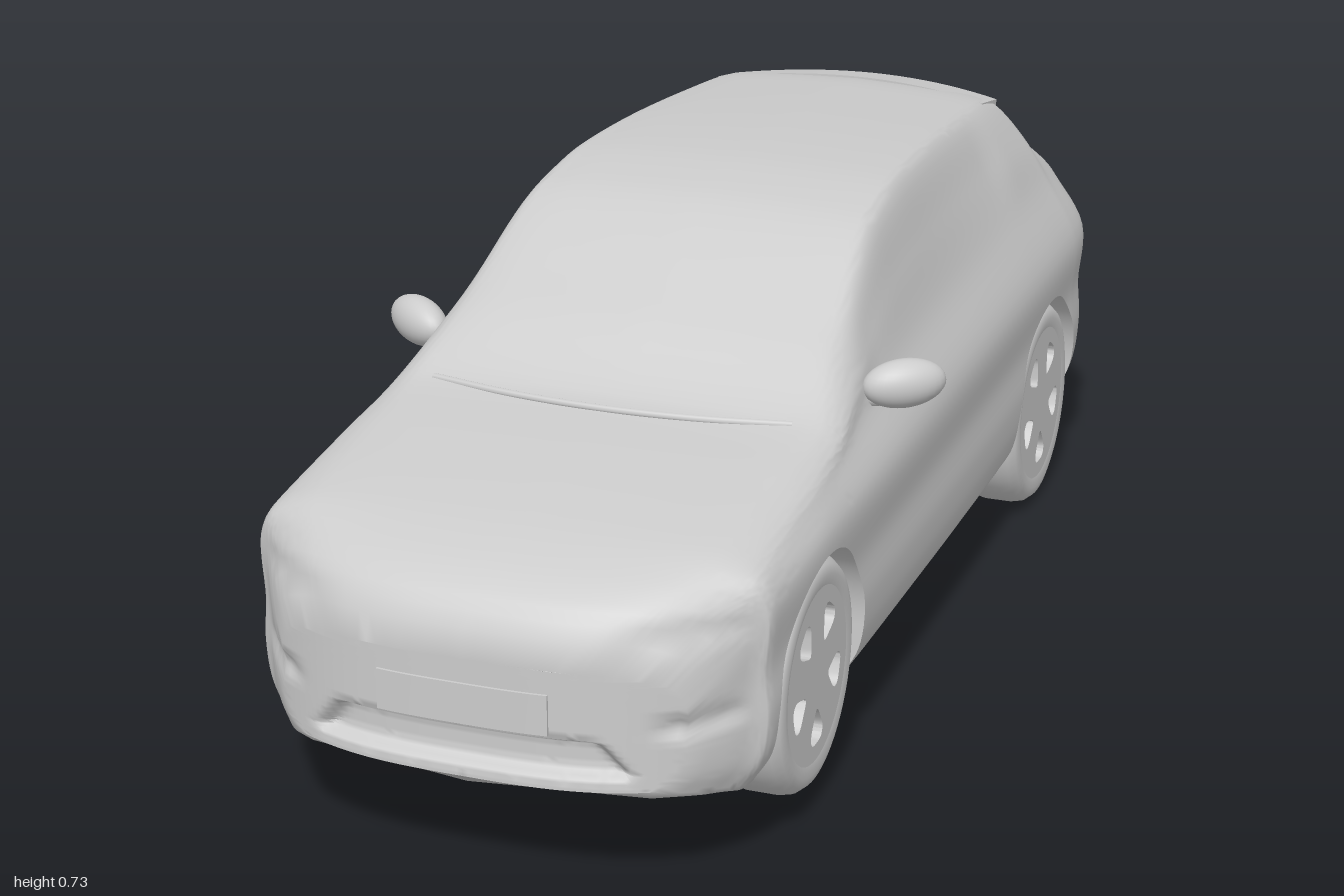
import * as THREE from 'three';
import { toCreasedNormals } from 'three/addons/utils/BufferGeometryUtils.js';

const paint = new THREE.MeshStandardMaterial({ color: 0xcccccc });
paint.name = 'grey';

// Body stations: z, bottom y, half width, top of side y, shoulder x, y, roof edge x, y, centre top y
const STATIONS = [
  [1.0, .175, .30, .29, .285, .325, .22, .345, .352],
  [.985, .16, .325, .32, .31, .36, .25, .388, .397],
  [.96, .15, .35, .355, .335, .395, .27, .42, .429],
  [.9, .14, .372, .385, .36, .422, .29, .449, .459],
  [.8, .13, .383, .41, .367, .445, .31, .473, .483],
  [.6, .125, .388, .42, .367, .462, .32, .495, .508],
  [.46, .12, .388, .42, .36, .475, .32, .512, .52],
  [.3, .115, .388, .42, .346, .50, .30, .582, .613],
  [.05, .113, .388, .42, .338, .52, .27, .702, .721],
  [-.1, .112, .388, .42, .336, .525, .262, .718, .733],
  [-.6, .115, .388, .42, .335, .53, .243, .68, .70],
  [-.75, .12, .387, .42, .333, .525, .238, .65, .672],
  [-.77, .12, .386, .42, .332, .52, .238, .622, .636],
  [-.9, .135, .37, .42, .322, .49, .26, .535, .552],
  [-.97, .153, .345, .408, .305, .465, .253, .5, .513],
  [-1.0, .195, .322, .39, .285, .435, .24, .468, .48],
];
const WHEELS = [{ name: 'FrontWheel', z: .61, y: .21 }, { name: 'RearWheel', z: -.6, y: .175 }];
const ARCH_R = .185, WELL_X = .25;

const smooth = THREE.MathUtils.smoothstep;
const band = (v, a, b, e) => smooth(v, a - e, a + e) * (1 - smooth(v, b - e, b + e));

// Smooth, overshoot-free interpolation between stations
function station(z) {
  let k = 0;
  while (k < STATIONS.length - 2 && z < STATIONS[k + 1][0]) k++;
  const slope = (i, c) => (STATIONS[i + 1][c] - STATIONS[i][c]) / (STATIONS[i + 1][0] - STATIONS[i][0]);
  const tangent = (i, c) => {
    if (i === 0) return slope(0, c);
    if (i === STATIONS.length - 1) return slope(i - 1, c);
    const a = slope(i - 1, c), b = slope(i, c);
    return a * b <= 0 ? 0 : 2 * a * b / (a + b);
  };
  const A = STATIONS[k], B = STATIONS[k + 1], h = B[0] - A[0], t = (z - A[0]) / h;
  return A.map((v, c) => c === 0 ? z :
    (2 * t ** 3 - 3 * t * t + 1) * v + (t ** 3 - 2 * t * t + t) * h * tangent(k, c) +
    (3 * t * t - 2 * t ** 3) * B[c] + (t ** 3 - t * t) * h * tangent(k + 1, c));
}

// Half section from bottom centre, round the wheel well or sill, up to the roof centre
function halfSection(z, lip) {
  const [, yb, w, ym, xs, ys, xr, yr, yt] = station(z);
  const side = f => yb + (ym - yb) * f;
  const glass = .011 - .008 * band(z, -.55, .25, .06);
  const P = (x, y) => new THREE.Vector3(x, y, 0);
  const pts = new THREE.CatmullRomCurve3([
    P(w - .038, yb), P(w - .01, side(.17)), P(w, side(.42)), P(w - .004, side(.66)), P(w, ym),
    P(xs, ys), P((xs + xr) / 2 + glass, (ys + yr) / 2), P(xr, yr),
    P(xr * .88, yr + .45 * (yt - yr)), P(xr * .5, yr + .8 * (yt - yr)), P(0, yt),
  ]).getPoints(60);
  const low = Math.max(lip, yb);
  const n = pts.findIndex(p => p.y >= low);
  const edge = n > 0 ? pts[n - 1].clone().lerp(pts[n], (low - pts[n - 1].y) / (pts[n].y - pts[n - 1].y)) : pts[0].clone();
  for (let i = 0; i < n; i++) pts[i].copy(edge);
  return [P(0, yb), P(WELL_X, yb), P(WELL_X, low), ...pts].map(p => [p.x, p.y]);
}

// Rounds the nose and tail in plan and presses in the bumper details
function place(x, y, z) {
  const a = Math.abs(x);
  let out = z - 2.5 * a ** 3 * smooth(z, .8, 1) + .6 * a * a * smooth(-z, .8, 1);
  const nose = smooth(z, .92, .98), tail = smooth(-z, .92, .98);
  out -= nose * .025 * band(y, .195, .245, .008) * (1 - smooth(a + (y - .19) * .8, .215, .25));
  out -= nose * .012 * band(y, .255, .28, .012) * band(a, .27, .36, .025);
  out -= nose * .01 * band(y, .38, .405, .012) * smooth(a, .18, .26);
  out += tail * .009 * band(y, .275, .325, .02) * (1 - smooth(a, .18, .28));
  return [x, y, out];
}

function bodyGeometry() {
  // Slices crowd together at both ends and skip the wheel arches
  let slices = [.46, -.75, -.77].map(z => [z, 0]);
  for (let i = 0; i <= 100; i++) slices.push([Math.cos(i / 100 * Math.PI) * .4 + (1 - i / 50) * .6, 0]);
  slices = slices.filter(([z]) => WHEELS.every(w => Math.abs(z - w.z) > ARCH_R + .002));
  // The cut edge follows a half circle over each wheel
  for (const w of WHEELS) {
    slices.push([w.z + ARCH_R + 1e-5, 0], [w.z - ARCH_R - 1e-5, 0]);
    for (let i = 0; i <= 32; i++) {
      const a = i / 32 * Math.PI;
      slices.push([w.z + ARCH_R * Math.cos(a), w.y + ARCH_R * Math.sin(a)]);
    }
  }
  slices.sort((a, b) => b[0] - a[0]);

  const pos = [], index = [];
  const halves = slices.map(([z, lip]) => halfSection(z, lip));
  const m = halves[0].length, ring = 2 * m;
  halves.forEach((half, k) => {
    const z = slices[k][0];
    half.forEach(([x, y]) => pos.push(...place(x, y, z)));
    [...half].reverse().forEach(([x, y]) => pos.push(...place(-x, y, z)));
  });
  for (let k = 0; k < halves.length - 1; k++) for (let i = 0; i < ring; i++) {
    const a = k * ring + i, b = k * ring + (i + 1) % ring;
    index.push(a, a + ring, b, b, a + ring, b + ring);
  }
  // Closed front and rear faces
  const cols = 64;
  for (const [k, flip] of [[0, false], [halves.length - 1, true]]) {
    const base = pos.length / 3;
    for (const [x, y] of halves[k])
      for (let c = 0; c <= cols; c++) pos.push(...place(x * (2 * c / cols - 1), y, slices[k][0]));
    for (let r = 0; r < m - 1; r++) for (let c = 0; c < cols; c++) {
      const a = base + r * (cols + 1) + c, d = a + cols + 1;
      index.push(...(flip ? [a, d, a + 1, a + 1, d, d + 1] : [a, a + 1, d, a + 1, d + 1, d]));
    }
  }
  const g = new THREE.BufferGeometry();
  g.setAttribute('position', new THREE.Float32BufferAttribute(pos, 3));
  g.setIndex(index);
  return toCreasedNormals(g, 1.1);
}

function add(parent, name, geometry) {
  const mesh = new THREE.Mesh(geometry, paint);
  mesh.name = name;
  parent.add(mesh);
  return mesh;
}

// Wheel facing +z: tyre with a five-window rim
function wheel() {
  const g = new THREE.Group();
  const profile = [[0, -.057], [.14, -.057], [.16, -.051], [.171, -.038], [.175, -.02], [.175, .022], [.171, .04],
    [.161, .052], [.147, .056], [.131, .053], [.131, .03], [0, .03]].map(p => new THREE.Vector2(...p));
  add(g, 'tyre', toCreasedNormals(new THREE.LatheGeometry(profile, 56).rotateX(Math.PI / 2), .7));
  const face = new THREE.Shape().absarc(0, 0, .132, 0, Math.PI * 2);
  for (let i = 0; i < 5; i++) {
    const a = -Math.PI / 2 + i * Math.PI * 2 / 5;
    const at = (r, s) => new THREE.Vector3(r * Math.cos(a) - s * Math.sin(a), r * Math.sin(a) + s * Math.cos(a), 0);
    const outline = new THREE.CatmullRomCurve3(
      [at(.052, 0), at(.066, .013), at(.09, .026), at(.103, .02), at(.106, 0), at(.103, -.02), at(.09, -.026), at(.066, -.013)], true);
    face.holes.push(new THREE.Path(outline.getPoints(24).slice(0, -1).map(p => new THREE.Vector2(p.x, p.y))));
  }
  const rim = new THREE.ExtrudeGeometry(face, { depth: .023, bevelEnabled: false, curveSegments: 48 });
  add(g, 'rim', toCreasedNormals(rim, .6)).position.z = .03;
  return g;
}

export function createModel() {
  const car = new THREE.Group();
  car.name = 'car';
  add(car, 'body', bodyGeometry());

  // Roof spoiler overhanging the rear window
  const lip = new THREE.BoxGeometry(.474, .016, .09, 20, 1, 6), p = lip.attributes.position;
  for (let i = 0; i < p.count; i++) {
    const x = p.getX(i), z = p.getZ(i) - .762 + .85 * x * x;
    p.setXYZ(i, x, p.getY(i) + .66 + (z + .8) * .2 - .35 * x * x, z);
  }
  add(car, 'spoiler', toCreasedNormals(lip, .7));

  // Number plate panel on the nose
  const plate = new THREE.BoxGeometry(.25, .06, .02, 12, 1, 1), q = plate.attributes.position;
  for (let i = 0; i < q.count; i++) q.setZ(i, q.getZ(i) + .994 - 2.5 * Math.abs(q.getX(i)) ** 3);
  plate.translate(0, .286, 0);
  add(car, 'frontPlate', toCreasedNormals(plate, .6));

  // Wiper cowl at the foot of the windscreen
  const cowl = new THREE.CatmullRomCurve3([-.28, -.15, 0, .15, .28].map(x =>
    new THREE.Vector3(x, .519 - .03 * x * x, .485 - .5 * x * x)));
  add(car, 'cowl', new THREE.TubeGeometry(cowl, 30, .006, 8));

  for (const s of [1, -1]) {
    const side = s > 0 ? 'left' : 'right';
    for (const w of WHEELS) {
      const g = wheel();
      g.name = side + w.name;
      g.position.set(s * .323, w.y, w.z);
      g.rotation.y = s * Math.PI / 2;
      car.add(g);
    }
    const mirror = add(car, side + 'Mirror', new THREE.SphereGeometry(1, 28, 18));
    mirror.scale.set(.064, .037, .033);
    mirror.position.set(s * .389, .527, .258);
    mirror.rotation.set(0, s * .6, s * .04);
    const arm = new THREE.CatmullRomCurve3([[.325, .505, .27], [.35, .508, .275], [.38, .515, .265]]
      .map(([x, y, z]) => new THREE.Vector3(s * x, y, z)));
    add(car, side + 'MirrorArm', new THREE.TubeGeometry(arm, 10, .016, 10));
  }
  return car;
}
